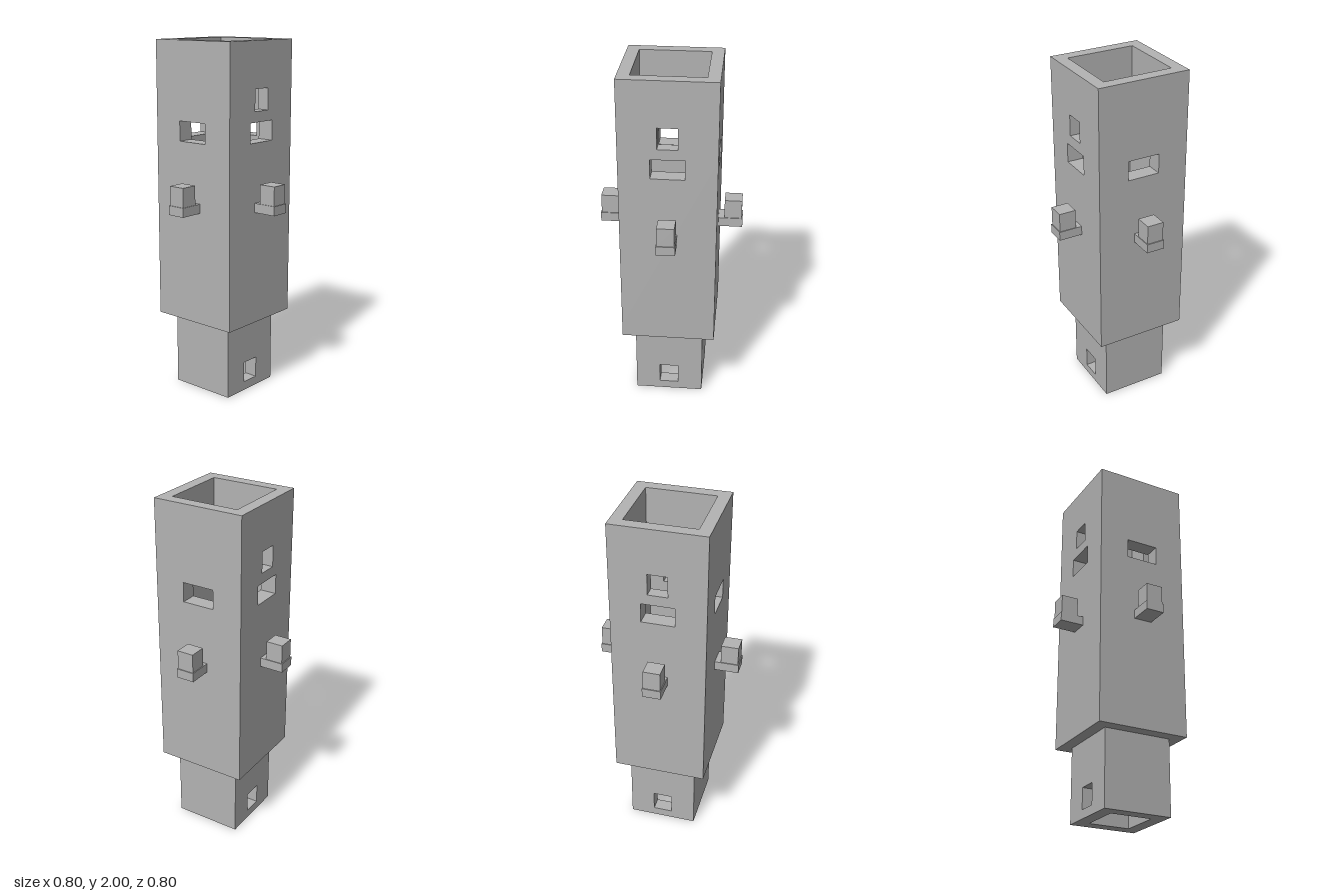
import * as THREE from 'three';

const stone = new THREE.MeshStandardMaterial({ color: 0xb3b3b3 });
stone.name = 'plain grey';

// Mitred wall panel facing +z; holes are [halfWidth, bottom, top]
function wallGeometry(outer, inner, y0, y1, holes) {
  const shape = new THREE.Shape([
    new THREE.Vector2(-outer, y0), new THREE.Vector2(outer, y0),
    new THREE.Vector2(outer, y1), new THREE.Vector2(-outer, y1),
  ]);
  for (const [w, b, t] of holes) {
    shape.holes.push(new THREE.Path([
      new THREE.Vector2(-w, b), new THREE.Vector2(-w, t),
      new THREE.Vector2(w, t), new THREE.Vector2(w, b),
    ]));
  }
  const geo = new THREE.ExtrudeGeometry(shape, { depth: outer - inner, bevelEnabled: false });
  geo.translate(0, 0, inner);
  // Pull the inner corners in so neighbouring walls meet on the diagonal
  const p = geo.attributes.position;
  for (let i = 0; i < p.count; i++) {
    const x = p.getX(i);
    if (p.getZ(i) < inner + 1e-4 && Math.abs(x) > outer - 1e-4) p.setX(i, Math.sign(x) * inner);
  }
  geo.computeVertexNormals();
  return geo;
}

// Square tube section with separate openings on the front/back and side walls
function tube(name, outer, inner, y0, y1, frontHoles = [], sideHoles = []) {
  const group = new THREE.Group();
  group.name = name;
  for (let k = 0; k < 4; k++) {
    const wall = new THREE.Mesh(wallGeometry(outer, inner, y0, y1, k % 2 ? sideHoles : frontHoles), stone);
    wall.name = ['frontWall', 'leftWall', 'backWall', 'rightWall'][k];
    wall.rotation.y = k * Math.PI / 2;
    group.add(wall);
  }
  return group;
}

function box(name, w, y0, y1, z0, z1) {
  const mesh = new THREE.Mesh(new THREE.BoxGeometry(w, y1 - y0, z1 - z0), stone);
  mesh.name = name;
  mesh.position.set(0, (y0 + y1) / 2, (z0 + z1) / 2);
  return mesh;
}

export function createModel() {
  const model = new THREE.Group();
  model.name = 'squareTower';

  // Narrow stem, floor ledge, hollow body and wider socket at the top
  const window = [0.093, 1.455, 1.566];
  model.add(
    tube('stem', 0.196, 0.12, 0, 0.43, [], [[0.055, 0.05, 0.17]]),
    tube('floorLedge', 0.265, 0.12, 0.43, 0.5),
    tube('body', 0.265, 0.173, 0.5, 1.57, [window], [window]),
    tube('socket', 0.265, 0.197, 1.57, 2, [], [[0.055, 1.625, 1.745]]),
  );

  // A hook on each side: short shelf with an upright peg
  for (let k = 0; k < 4; k++) {
    const hook = new THREE.Group();
    hook.name = 'hook' + (k + 1);
    hook.add(
      box('hookShelf', 0.105, 1.07, 1.122, 0.265, 0.4),
      box('hookPeg', 0.096, 1.122, 1.23, 0.298, 0.395),
    );
    hook.rotation.y = k * Math.PI / 2;
    model.add(hook);
  }
  return model;
}
